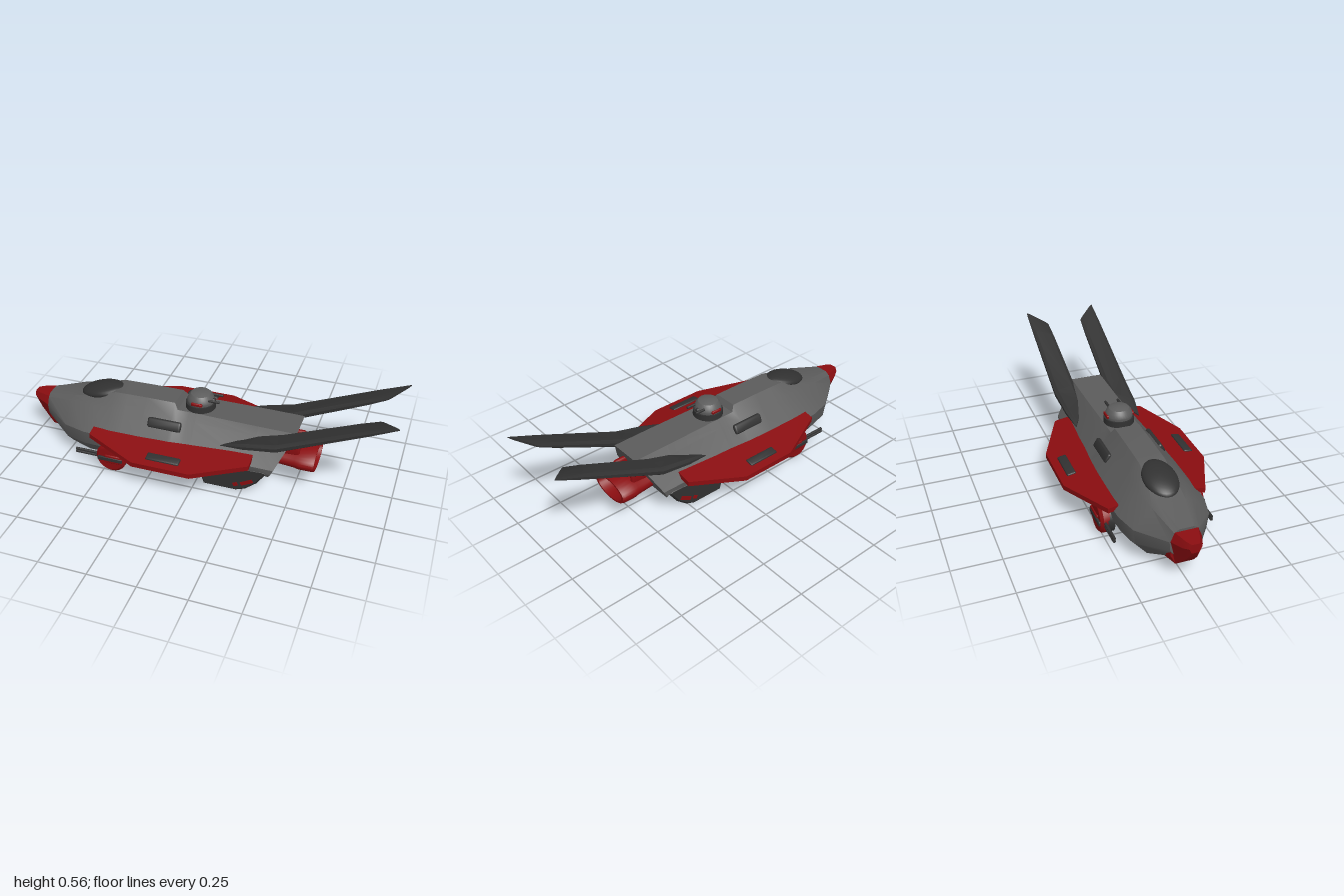
import * as THREE from 'three';
import { toCreasedNormals } from 'three/addons/utils/BufferGeometryUtils.js';
import { RoundedBoxGeometry } from 'three/addons/geometries/RoundedBoxGeometry.js';

const material = (name, color) => {
  const m = new THREE.MeshStandardMaterial({ color });
  m.name = name;
  return m;
};

// Skin a run of equal-length rings, cap both ends, and face everything outward.
function loft(rings) {
  const tris = [];
  const n = rings[0].length;
  for (let i = 0; i < rings.length - 1; i++) {
    for (let j = 0; j < n; j++) {
      const k = (j + 1) % n;
      const a = rings[i][j], b = rings[i][k], c = rings[i + 1][k], d = rings[i + 1][j];
      tris.push([a, b, c], [a, c, d]);
    }
  }
  const first = rings[0], last = rings[rings.length - 1];
  for (let j = 1; j < n - 1; j++) {
    tris.push([first[0], first[j + 1], first[j]], [last[0], last[j], last[j + 1]]);
  }
  let volume = 0;
  const [a, b, c] = [0, 1, 2].map(() => new THREE.Vector3());
  for (const t of tris) volume += a.fromArray(t[0]).dot(b.fromArray(t[1]).cross(c.fromArray(t[2])));
  if (volume < 0) tris.forEach((t) => t.reverse());
  const g = new THREE.BufferGeometry();
  g.setAttribute('position', new THREE.Float32BufferAttribute(tris.flat(2), 3));
  g.computeVertexNormals();
  return g;
}

// Mirror a half section of [y, z] points; lean shifts x with height.
function section(x, half, lean = 0) {
  const full = [...half, ...half.map(([y, z]) => [y, -z]).reverse()];
  return full.map(([y, z]) => [x + lean * (y - 0.35), y, z]);
}

export function createModel() {
  const grey = material('hullGrey', 0x5c5c5c);
  const dark = material('darkGrey', 0x313131);
  const red = material('deepRed', 0x8a0d10);

  const model = new THREE.Group();
  model.name = 'spacecraft';
  const add = (name, geometry, mat, x = 0, y = 0, z = 0) => {
    const mesh = new THREE.Mesh(toCreasedNormals(geometry, 0.5), mat);
    mesh.name = name;
    mesh.position.set(x, y, z);
    model.add(mesh);
    return mesh;
  };

  // Hull: top edge, shoulder, widest line, lower side and belly at each station
  const stations = [
    [-0.9, [[0.28, 0.035], [0.265, 0.06], [0.22, 0.08], [0.17, 0.075], [0.13, 0.045]]],
    [-0.74, [[0.313, 0.065], [0.30, 0.10], [0.2, 0.19], [0.12, 0.18], [0.05, 0.12]]],
    [-0.62, [[0.34, 0.07], [0.31, 0.115], [0.2, 0.22], [0.12, 0.21], [0.048, 0.16]]],
    [-0.49, [[0.382, 0.065], [0.32, 0.12], [0.2, 0.225], [0.12, 0.215], [0.048, 0.16]]],
    [-0.42, [[0.384, 0.065], [0.32, 0.12], [0.2, 0.225], [0.12, 0.215], [0.05, 0.16]]],
    [-0.31, [[0.386, 0.065], [0.32, 0.12], [0.2, 0.225], [0.15, 0.215], [0.105, 0.15]]],
    [-0.155, [[0.386, 0.065], [0.32, 0.12], [0.2, 0.22], [0.16, 0.21], [0.108, 0.13]]],
    [-0.135, [[0.356, 0.08], [0.32, 0.115], [0.2, 0.22], [0.16, 0.21], [0.11, 0.12]]],
    [-0.07, [[0.355, 0.08], [0.32, 0.112], [0.2, 0.215], [0.16, 0.205], [0.115, 0.12]]],
    [-0.03, [[0.355, 0.08], [0.32, 0.112], [0.2, 0.212], [0.165, 0.205], [0.15, 0.12]]],
    [0.3, [[0.352, 0.085], [0.31, 0.112], [0.185, 0.205], [0.15, 0.2], [0.13, 0.15]]],
  ];
  const rear = [[0.35, 0.085], [0.3, 0.115], [0.18, 0.2], [0.15, 0.2], [0.12, 0.18]];
  add('hull', loft([...stations.map(([x, h]) => section(x, h)), section(0.5, rear, 0.5)]), grey);

  // Nose cap with a chin running back under the hull
  add('noseCap', loft([
    section(-1.0, [[0.262, 0.018], [0.24, 0.03], [0.215, 0.018]]),
    section(-0.97, [[0.264, 0.035], [0.23, 0.048], [0.165, 0.025]]),
    section(-0.895, [[0.268, 0.058], [0.22, 0.078], [0.085, 0.045]]),
  ]), red);
  add('noseChin', loft([
    section(-0.895, [[0.2, 0.07], [0.14, 0.072], [0.085, 0.045]]),
    section(-0.76, [[0.12, 0.10], [0.1, 0.10], [0.08, 0.06]]),
  ]), red);

  // Canopy, tilted along the rising foredeck
  const canopy = add('canopy', new THREE.SphereGeometry(1, 32, 16), dark, -0.59, 0.346, 0);
  canopy.scale.set(0.125, 0.036, 0.084);
  canopy.rotation.z = 0.22;

  // Turret: ring, dome, ports and twin guns aimed aft
  const tx = -0.035;
  add('turretRing', new THREE.CylinderGeometry(0.078, 0.08, 0.04, 32), dark, tx, 0.366, 0);
  const dome = [[0.07, 0], [0.072, 0.015], [0.065, 0.035], [0.052, 0.05], [0.03, 0.058], [0, 0.06]];
  add('turretDome', new THREE.LatheGeometry(dome.map(([r, y]) => new THREE.Vector2(r, y)), 32), grey, tx, 0.385, 0);
  add('turretPort', new THREE.SphereGeometry(0.012, 12, 8), dark, tx + 0.068, 0.402, 0);
  for (const s of [1, -1]) {
    const barrel = new THREE.CylinderGeometry(0.007, 0.007, 0.08, 10).rotateZ(Math.PI / 2);
    add('turretGun', barrel, dark, tx + 0.07, 0.415, s * 0.034);
    add('turretLamp', new RoundedBoxGeometry(0.06, 0.018, 0.014, 2, 0.006), red, tx, 0.4, s * 0.068);
  }

  // Engine: flattened nozzle with a recessed throat
  const nozzle = [[0.85, -0.22], [0.95, -0.1], [1, -0.08], [1, -0.01], [0.96, 0], [0.82, 0], [0.74, -0.06], [0, -0.07]];
  const engine = new THREE.LatheGeometry(nozzle.map(([r, y]) => new THREE.Vector2(r, y)), 28);
  add('engineNozzle', engine.rotateZ(-Math.PI / 2).scale(1, 0.06, 0.122), red, 0.603, 0.18, 0);

  const finY = (x) => (x < 0.42 ? 0.26 + (x - 0.13) * 0.19 : 0.315 + (x - 0.42) * 0.437);

  for (const s of [1, -1]) {
    add('engineBracket', new RoundedBoxGeometry(0.1, 0.06, 0.025, 3, 0.012), red, 0.47, 0.24, s * 0.07);

    // Drooping side wing
    const outline = [[-0.57, 0.17], [-0.57, 0.25], [-0.28, 0.38], [0.03, 0.38], [0.3, 0.25], [0.3, 0.17]];
    const wingRing = (dy) => outline.map(([x, z]) => [x, 0.22 - (z - 0.17) * 0.18 + dy, s * z]);
    add('wing', loft([wingRing(-0.013), wingRing(0.013)]), red);
    const wingVent = add('wingVent', new RoundedBoxGeometry(0.18, 0.02, 0.048, 2, 0.008), dark, -0.13, 0.204, s * 0.317);
    wingVent.rotation.x = s * 0.18;

    // Flank vent
    const vent = add('flankVent', new RoundedBoxGeometry(0.184, 0.054, 0.026, 3, 0.012), dark, -0.187, 0.292, s * 0.143);
    vent.rotation.x = -s * 0.5;

    // Swept tail fin: inner x, outer x, inner z, outer z, thickness
    const finStations = [
      [0.25, 0.13, 0.115, 0.18, 0.008],
      [0.33, 0.25, 0.095, 0.2, 0.035],
      [0.44, 0.42, 0.086, 0.21, 0.046],
      [0.8, 0.86, 0.095, 0.206, 0.034],
      [0.9, 1.0, 0.1, 0.203, 0.012],
    ];
    add('tailFin', loft(finStations.map(([xi, xo, zi, zo, t]) => {
      const at = (f, h) => {
        const x = xi + (xo - xi) * f;
        return [x, finY(x) + h * t, s * (zi + (zo - zi) * f)];
      };
      return [at(0, -0.2), at(0, 0.2), at(0.15, 0.5), at(0.85, 0.5), at(1, 0.2), at(1, -0.2), at(0.85, -0.5), at(0.15, -0.5)];
    })), dark);

    // Lower pod with bevelled rim and red side marks
    const podShape = new THREE.Shape([
      [-0.012, 0.09], [0.03, 0.055], [0.045, 0.006], [0.22, 0.006], [0.27, 0.025],
      [0.33, 0.075], [0.385, 0.155], [0.36, 0.165], [0.02, 0.15], [-0.012, 0.14],
    ].map(([x, y]) => new THREE.Vector2(x, y)));
    const pod = new THREE.ExtrudeGeometry(podShape, {
      depth: 0.09, bevelThickness: 0.01, bevelSize: 0.01, bevelOffset: -0.01, bevelSegments: 1,
    });
    add('lowerPod', pod, dark, 0, 0, s * 0.147 - 0.045);
    add('podRail', new RoundedBoxGeometry(0.17, 0.014, 0.014, 2, 0.005), dark, 0.09, 0.115, s * 0.202);
    for (const [x, y, w] of [[0.28, 0.075, 0.07], [0.22, 0.05, 0.025]]) {
      const mark = add('podMark', new THREE.BoxGeometry(w, 0.02, 0.008), red, x, y, s * 0.201);
      mark.rotation.z = 0.5;
    }

    // Round side weapon: backing disc, red drum, hub and forward barrels
    const disc = (r, d) => new THREE.CylinderGeometry(r, r, d, 24).rotateX(Math.PI / 2);
    add('weaponMount', disc(0.083, 0.04), dark, -0.45, 0.095, s * 0.22);
    const drum = [[0.082, -0.025], [0.084, 0.01], [0.07, 0.024], [0, 0.026]].map(([r, y]) => new THREE.Vector2(r, y));
    add('weaponDrum', new THREE.LatheGeometry(drum, 24).rotateX(s * Math.PI / 2), red, -0.45, 0.097, s * 0.247);
    add('weaponHub', new RoundedBoxGeometry(0.1, 0.05, 0.016, 2, 0.006), red, -0.43, 0.097, s * 0.27);
    for (const dy of [-0.008, 0.008]) {
      const barrel = new THREE.CylinderGeometry(0.008, 0.008, 0.16, 10).rotateZ(Math.PI / 2);
      add('weaponBarrel', barrel, dark, -0.575, 0.097 + dy, s * 0.25);
    }
    add('weaponBreech', new RoundedBoxGeometry(0.14, 0.024, 0.012, 2, 0.005), dark, -0.45, 0.097, s * 0.275);
  }
  return model;
}
